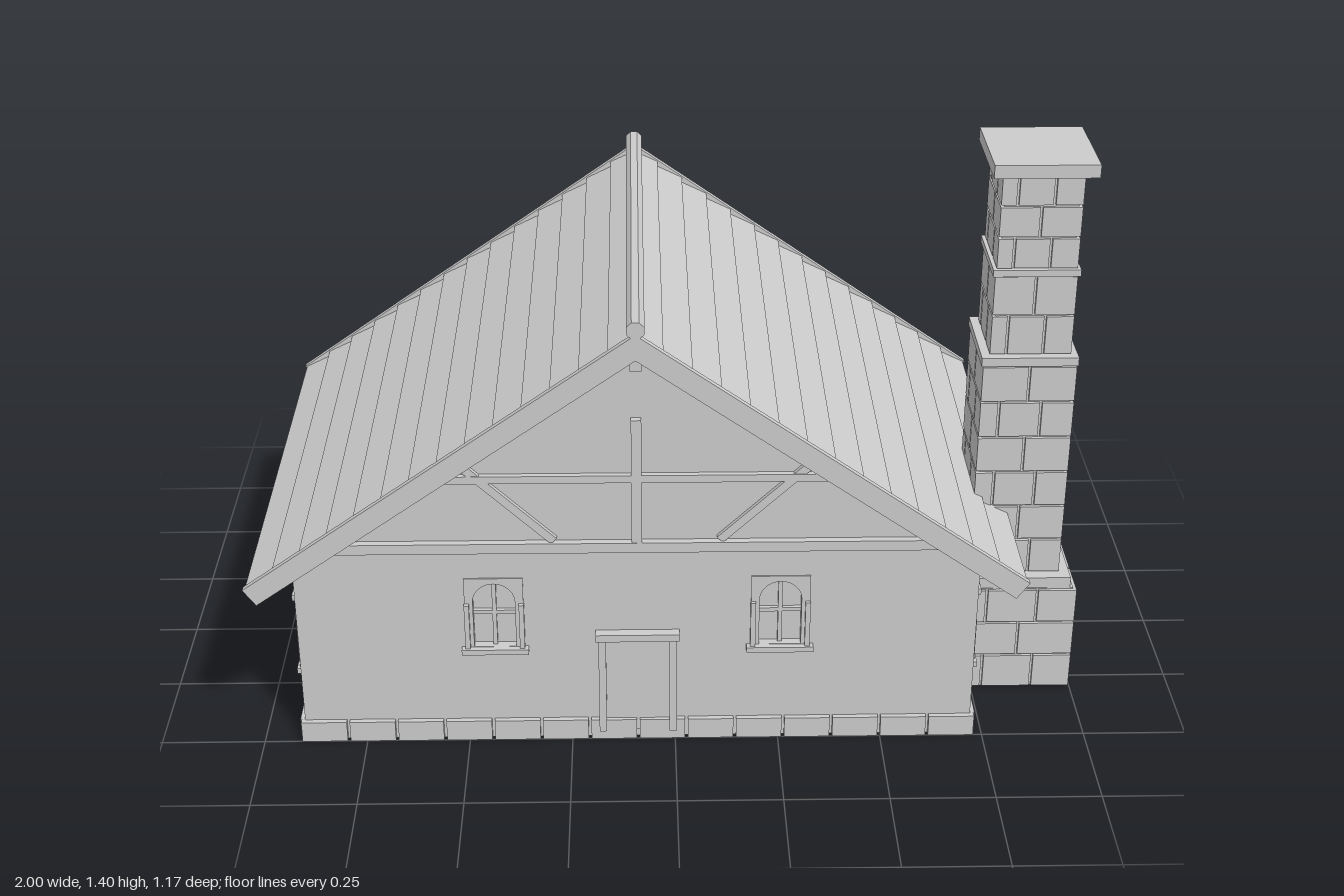
import * as THREE from 'three';

const stone = new THREE.MeshStandardMaterial({ color: 0xcccccc });
stone.name = 'pale grey';

const CX = -0.09, HALF = 0.81, ZW = 0.488, T = 0.03; // house centre, half width, wall face, wall thickness
const RIDGE = 1.13, ANG = Math.atan2(0.645, 0.91), C = Math.cos(ANG), S = Math.sin(ANG), LEN = 1.115;

function add(parent, name, geo) {
  const m = new THREE.Mesh(geo, stone);
  m.name = name;
  parent.add(m);
  return m;
}
function group(parent, name) {
  const g = new THREE.Group();
  g.name = name;
  parent.add(g);
  return g;
}
// box given by its limits
function box(parent, name, x0, x1, y0, y1, z0, z1) {
  const m = add(parent, name, new THREE.BoxGeometry(x1 - x0, y1 - y0, z1 - z0));
  m.position.set((x0 + x1) / 2, (y0 + y1) / 2, (z0 + z1) / 2);
  return m;
}
function slab(parent, name, shape, z0, z1) {
  const m = add(parent, name, new THREE.ExtrudeGeometry(shape, { depth: z1 - z0, bevelEnabled: false, curveSegments: 10 }));
  m.position.z = z0;
  return m;
}
const poly = pts => new THREE.Shape(pts.map(p => new THREE.Vector2(p[0], p[1])));
// point on a roof slope: side s, distance u down from the ridge, height v off the surface
const onSlope = (s, u, v) => [CX + s * (u * C + v * S), RIDGE - u * S + v * C];
const atRidge = (s, v) => onSlope(s, -v * S / C, v);

// round-headed opening
function archPath(cx, y0) {
  const p = new THREE.Path();
  p.moveTo(cx - 0.05, y0 + 0.015);
  p.lineTo(cx + 0.05, y0 + 0.015);
  p.lineTo(cx + 0.05, y0 + 0.14);
  p.absarc(cx, y0 + 0.14, 0.05, 0, Math.PI, false);
  p.closePath();
  return p;
}

// window facing +z, sill bottom at the origin
function makeWindow(parent, x, y, z, ry) {
  const g = group(parent, 'window');
  const surround = poly([[-0.07, 0], [0.07, 0], [0.07, 0.205], [-0.07, 0.205]]);
  surround.holes.push(archPath(0, 0));
  slab(g, 'windowSurround', surround, -0.002, 0.003);
  box(g, 'windowSill', -0.08, 0.08, 0, 0.014, -0.005, 0.018);
  for (const s of [-1, 1]) box(g, 'windowJamb', s * 0.065 - 0.006, s * 0.065 + 0.006, 0.014, 0.135, -0.002, 0.012);
  box(g, 'windowPane', -0.055, 0.055, 0.01, 0.195, -0.022, -0.018);
  box(g, 'mullion', -0.005, 0.005, 0.015, 0.19, -0.028, -0.008);
  box(g, 'transom', -0.05, 0.05, 0.1, 0.11, -0.028, -0.008);
  g.position.set(x, y, z);
  g.rotation.y = ry;
}

function makeWalls(house) {
  const eave = 0.5, top = 1.07;
  const front = poly([[CX - HALF, 0], [CX + HALF, 0], [CX + HALF, eave], [CX, top], [CX - HALF, eave]]);
  for (const x of [-0.43, 0.25]) {
    front.holes.push(archPath(x, 0.25));
    makeWindow(house, x, 0.25, ZW, 0);
  }
  slab(house, 'frontWall', front, ZW - T, ZW);

  // back wall with the wide archway
  const back = new THREE.Shape();
  back.moveTo(CX + 0.6, 0);
  back.lineTo(CX + HALF, 0);
  back.lineTo(CX + HALF, eave);
  back.lineTo(CX, top);
  back.lineTo(CX - HALF, eave);
  back.lineTo(CX - HALF, 0);
  back.lineTo(CX - 0.6, 0);
  for (let i = 0; i <= 24; i++) {
    const a = Math.PI * (1 - i / 24);
    back.lineTo(CX + 0.6 * Math.cos(a), 0.25 + 0.23 * Math.sin(a));
  }
  slab(house, 'backWall', back, -ZW, -ZW + T);

  // side walls, drawn facing +z and turned outwards
  for (const s of [-1, 1]) {
    const w = ZW - T, side = poly([[-w, 0], [w, 0], [w, eave], [-w, eave]]);
    for (const z of [-0.355, 0.355]) {
      side.holes.push(archPath(z, 0.155));
      makeWindow(house, CX + s * HALF, 0.155, z, s * Math.PI / 2);
    }
    const g = group(house, 'sideWall');
    slab(g, 'sideWallPanel', side, -T, 0);
    box(g, 'sideRail', -0.455, 0.455, 0.376, 0.391, -0.005, 0.012);
    g.position.x = CX + s * HALF;
    g.rotation.y = s * Math.PI / 2;
  }
}

// row of stones between a and b along x or z
function stoneRow(parent, name, alongX, a, b, n, y0, y1, c0, c1) {
  const step = (b - a) / n, gap = 0.0035;
  for (let i = 0; i < n; i++) {
    const p = a + i * step + gap, q = a + (i + 1) * step - gap;
    if (alongX) box(parent, name, p, q, y0, y1, c0, c1);
    else box(parent, name, c0, c1, y0, y1, p, q);
  }
}

function makeFoundation(house) {
  const g = group(house, 'foundation'), h = 0.055, l = CX - HALF, r = CX + HALF;
  stoneRow(g, 'foundationStone', true, l - 0.012, r + 0.012, 14, 0, h, ZW - 0.035, ZW + 0.013);
  stoneRow(g, 'foundationStone', true, l - 0.012, CX - 0.58, 2, 0, h, -ZW - 0.013, -ZW + 0.08);
  stoneRow(g, 'foundationStone', true, CX + 0.58, r + 0.012, 2, 0, h, -ZW - 0.013, -ZW + 0.08);
  stoneRow(g, 'foundationStone', false, -ZW, ZW, 9, 0.001, h, l - 0.012, l + 0.03);
  stoneRow(g, 'foundationStone', false, -ZW, ZW, 9, 0.001, h, r - 0.03, r + 0.012);
}

function makeArchway(house) {
  const g = group(house, 'archway'), z0 = -ZW - 0.016, z1 = -ZW + 0.08, n = 17;
  // wedge stones round the arch
  for (let i = 0; i < n; i++) {
    const a = Math.PI * (i + 0.04) / n, b = Math.PI * (i + 0.96) / n, o = i % 2 ? 0 : 0.008;
    const pt = (t, rx, ry) => [CX + rx * Math.cos(t), 0.25 + ry * Math.sin(t)];
    slab(g, 'archStone', poly([pt(a, 0.58, 0.205), pt(a, 0.64 + o, 0.262 + o), pt(b, 0.64 + o, 0.262 + o), pt(b, 0.58, 0.205)]), z0, z1);
  }
  // quoins of alternating width
  for (const s of [-1, 1]) for (let i = 0; i < 5; i++) {
    const inner = CX + s * (i % 2 ? 0.592 : 0.572), outer = CX + s * (i % 2 ? 0.635 : 0.665), y = 0.058 + i * 0.039;
    box(g, 'quoin', Math.min(inner, outer), Math.max(inner, outer), y, y + 0.034, z0, z1);
  }
  // stepped corbels under the beam
  for (const s of [-1, 1]) for (const d of [0.52, 0.63, 0.74]) {
    const x = CX + s * d;
    box(g, 'corbelTop', x - 0.02, x + 0.02, 0.495, 0.53, -ZW - 0.03, -ZW + 0.01);
    box(g, 'corbelMiddle', x - 0.015, x + 0.015, 0.47, 0.495, -ZW - 0.022, -ZW + 0.01);
    box(g, 'corbelFoot', x - 0.01, x + 0.01, 0.45, 0.47, -ZW - 0.013, -ZW + 0.01);
  }
}

function makeTimbers(house) {
  for (const dir of [1, -1]) {
    const g = group(house, 'gableTimbers');
    box(g, 'tieBeam', CX - 0.755, CX + 0.755, 0.532, 0.558, -T - 0.015, 0.018);
    box(g, 'collarBeam', CX - 0.48, CX + 0.48, 0.717, 0.736, -0.01, 0.014);
    box(g, 'kingPost', CX - 0.012, CX + 0.012, 0.558, 0.88, -0.01, 0.016);
    box(g, 'ridgeBeamEnd', CX - 0.013, CX + 0.013, 1.012, 1.045, -0.01, 0.03);
    for (const s of [-1, 1]) {
      slab(g, 'gableRafter', poly([atRidge(s, -0.045), onSlope(s, 0.99, -0.045), onSlope(s, 0.95, -0.077), atRidge(s, -0.077)]), -T - 0.015, 0.016);
      const brace = box(g, 'brace', -0.14, 0.14, -0.01, 0.01, -0.01, 0.012);
      brace.position.set(CX + s * 0.295, 0.658, 0.001);
      brace.rotation.z = s * Math.atan2(0.2, 0.21);
    }
    g.position.z = dir * ZW;
    if (dir < 0) { g.rotation.y = Math.PI; g.position.x = 2 * CX; }
  }
}

function makeRoof(house) {
  const g = group(house, 'roof'), rows = 14;
  for (const s of [-1, 1]) {
    // overlapping boards as a stepped profile
    const pts = [atRidge(s, -0.042)];
    for (let i = 0; i < rows; i++) {
      pts.push(i ? onSlope(s, i * LEN / rows, -0.012) : atRidge(s, -0.012));
      pts.push(onSlope(s, (i + 1) * LEN / rows - 0.004, 0));
    }
    pts.push(onSlope(s, LEN - 0.004, -0.042));
    slab(g, 'roofBoards', poly(pts), -0.57, 0.57);
    for (const z of [-0.585, 0.569]) {
      slab(g, 'bargeboard', poly([atRidge(s, 0.003), onSlope(s, LEN, 0.003), onSlope(s, LEN, -0.048), atRidge(s, -0.048)]), z, z + 0.016);
    }
  }
  const cap = new THREE.CylinderGeometry(0.022, 0.022, 1.17, 8).rotateX(Math.PI / 2).rotateZ(Math.PI / 8).toNonIndexed();
  cap.computeVertexNormals();
  add(g, 'ridgeCap', cap).position.set(CX, 1.144, 0);
}

function makeDoor(house) {
  const g = group(house, 'door');
  box(g, 'doorLeaf', CX - 0.08, CX + 0.08, 0.02, 0.29, ZW - 0.01, ZW + 0.004);
  box(g, 'doorLintel', CX - 0.1, CX + 0.1, 0.288, 0.307, ZW - 0.01, ZW + 0.025);
  for (const s of [-1, 1]) box(g, 'doorJamb', CX + s * 0.085 - 0.009, CX + s * 0.085 + 0.009, 0.025, 0.288, ZW - 0.01, ZW + 0.018);
}

// one tier of coursed stone around a solid core
function tier(parent, x0, x1, z0, z1, y0, y1, rows) {
  const i = 0.008, t = 0.03, g = 0.003, h = (y1 - y0) / rows;
  box(parent, 'chimneyCore', x0 + i, x1 - i, y0, y1, z0 + i, z1 - i);
  for (let r = 0; r < rows; r++) {
    const cuts = r % 2 ? [0, 0.5, 1] : [0, 0.2, 0.65, 1], a = y0 + r * h + g, b = y0 + (r + 1) * h - g;
    for (let k = 0; k < cuts.length - 1; k++) {
      const p = cuts[k], q = cuts[k + 1], w = x1 - x0, d = z1 - z0;
      const xa = x0 + p * w + (k ? g : 0), xb = x0 + q * w - (q < 1 ? g : 0);
      const za = z0 + p * d + (k ? g : 0), zb = z0 + q * d - (q < 1 ? g : 0);
      box(parent, 'chimneyStone', xa, xb, a, b, z0, z0 + t);
      box(parent, 'chimneyStone', xa, xb, a, b, z1 - t, z1);
      box(parent, 'chimneyStone', x0, x0 + t, a, b, za, zb);
      box(parent, 'chimneyStone', x1 - t, x1, a, b, za, zb);
    }
  }
}

function makeChimney(house) {
  const g = group(house, 'chimney');
  tier(g, 0.72, 0.997, -0.005, 0.297, 0, 0.288, 3);
  box(g, 'chimneyLedge', 0.715, 0.982, 0.01, 0.286, 0.288, 0.317).position.set(0.848, 0.302, 0.148);
  g.children[g.children.length - 1].geometry = new THREE.BoxGeometry(0.267, 0.029, 0.28);
  tier(g, 0.732, 0.955, 0.033, 0.262, 0.317, 0.888, 6);
  box(g, 'chimneyBand', 0.728, 0.958, 0.888, 0.91, 0.032, 0.262);
  tier(g, 0.748, 0.941, 0.05, 0.245, 0.91, 1.115, 2);
  box(g, 'chimneyBand', 0.742, 0.947, 1.115, 1.132, 0.043, 0.251);
  tier(g, 0.75, 0.939, 0.05, 0.245, 1.132, 1.368, 3);
  box(g, 'chimneyCap', 0.725, 0.967, 1.368, 1.4, 0.024, 0.27);
}

export function createModel() {
  const house = new THREE.Group();
  house.name = 'house';
  makeWalls(house);
  makeFoundation(house);
  makeArchway(house);
  makeTimbers(house);
  makeRoof(house);
  makeDoor(house);
  makeChimney(house);
  return house;
}
